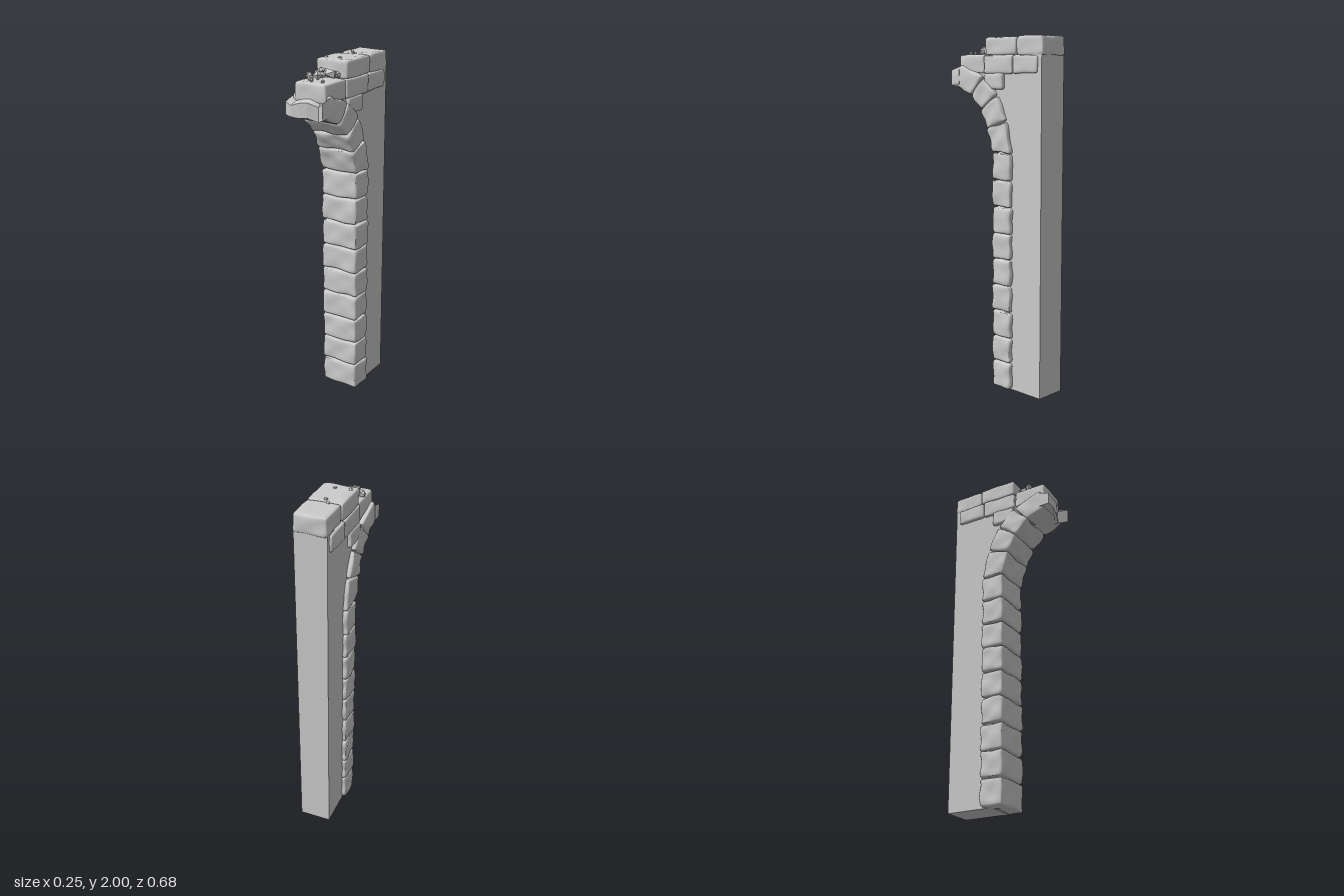
import * as THREE from 'three';
import { mergeVertices } from 'three/addons/utils/BufferGeometryUtils.js';

const material = new THREE.MeshStandardMaterial({ color: 0xcccccc });
const flatMaterial = new THREE.MeshStandardMaterial({ color: 0xcccccc, flatShading: true });

function seeded(seed) {
  let s = seed * 7919 + 17;
  return () => (s = (s * 16807) % 2147483647) / 2147483647;
}

// Rounded, slightly worn block fitted to a side outline of four [z, y] corners:
// bottom front, bottom back, top back, top front.
function stone(name, [a, b, c, d], x0, x1, seed, radius = 0.018, wear = 0.006) {
  const dist = (p, q) => Math.hypot(p[0] - q[0], p[1] - q[1]);
  const size = new THREE.Vector3(x1 - x0, (dist(a, d) + dist(b, c)) / 2, (dist(a, b) + dist(c, d)) / 2);
  const half = size.clone().multiplyScalar(0.5);
  const inner = half.clone().subScalar(radius);
  const rand = seeded(seed);
  for (let i = 0; i < 8; i++) rand();
  const ph = Array.from({ length: 6 }, () => rand() * 6.28);

  let geo = new THREE.BoxGeometry(2, 2, 2, 12, 10, 10);
  geo.deleteAttribute('uv');
  geo.deleteAttribute('normal');
  geo = mergeVertices(geo);
  const pos = geo.attributes.position;
  const p = new THREE.Vector3(), core = new THREE.Vector3(), n = new THREE.Vector3();
  const ease = (t) => Math.sin(t * Math.PI / 2);
  for (let i = 0; i < pos.count; i++) {
    p.fromBufferAttribute(pos, i);
    p.set(ease(p.x), ease(p.y), ease(p.z)).multiply(half);
    core.copy(p).clamp(inner.clone().negate(), inner);
    n.copy(p).sub(core).normalize();
    const bump = Math.sin(p.x * 31 + ph[0] + p.y * 22) * Math.sin(p.y * 37 + ph[1] + p.z * 25)
      + 0.6 * Math.sin(p.z * 48 + ph[2] + p.x * 40) * Math.cos(p.y * 50 + ph[3]);
    p.copy(core).addScaledVector(n, radius + wear * (bump * 0.7 - 0.3));
    const u = p.z / size.z + 0.5, v = p.y / size.y + 0.5;
    const mix = (k) => (1 - v) * ((1 - u) * b[k] + u * a[k]) + v * ((1 - u) * c[k] + u * d[k]);
    pos.setXYZ(i, p.x + (x0 + x1) / 2, mix(1), mix(0));
  }
  geo.computeVertexNormals();
  const mesh = new THREE.Mesh(geo, material);
  mesh.name = name;
  return mesh;
}

const rect = (zBack, zFront, y0, y1) => [[zFront, y0], [zBack, y0], [zBack, y1], [zFront, y1]];

// Angular chip of stone
function chip(name, x, y, z, r, squash, seed) {
  const rand = seeded(seed);
  for (let i = 0; i < 8; i++) rand();
  let geo = seed % 2 ? new THREE.OctahedronGeometry(r) : new THREE.IcosahedronGeometry(r);
  geo.deleteAttribute('uv');
  geo.deleteAttribute('normal');
  geo = mergeVertices(geo);
  const pos = geo.attributes.position;
  for (let i = 0; i < pos.count; i++) {
    const k = 0.8 + rand() * 0.4;
    pos.setXYZ(i, pos.getX(i) * k, pos.getY(i) * k, pos.getZ(i) * k);
  }
  geo.rotateZ((rand() - 0.5) * 1.5);
  geo.scale(1, squash, 0.85);
  geo.rotateY(rand() * 6.28);
  geo.computeVertexNormals();
  const mesh = new THREE.Mesh(geo, flatMaterial);
  mesh.name = name;
  mesh.position.set(x, y, z);
  return mesh;
}

export function createModel() {
  const model = new THREE.Group();
  model.name = 'ruinedArch';

  // Plain wall behind the facing stones
  const outline = [[-0.33, 0], [-0.06, 0], [-0.06, 1.36], [-0.03, 1.51], [0.03, 1.62],
    [0.12, 1.73], [0.2, 1.8], [0.2, 1.84], [-0.33, 1.9]];
  const wallGeo = new THREE.ExtrudeGeometry(
    new THREE.Shape(outline.map(([z, y]) => new THREE.Vector2(z, y))),
    { depth: 0.18, bevelEnabled: false });
  wallGeo.translate(0, 0, -0.09).rotateY(-Math.PI / 2);
  const wall = new THREE.Mesh(wallGeo, material);
  wall.name = 'wallCore';
  model.add(wall);

  // Column of facing stones
  const column = new THREE.Group();
  column.name = 'column';
  const levels = [0.003, 0.157, 0.305, 0.455, 0.607, 0.757, 0.905, 1.055, 1.205, 1.357];
  for (let i = 0; i < 9; i++) {
    const r = seeded(i + 3);
    for (let k = 0; k < 5; k++) r();
    const shift = (r() - 0.5) * 0.008;
    column.add(stone('columnStone', rect(-0.122, 0.019, levels[i], levels[i + 1]),
      -0.116 + shift, 0.118 + shift / 2, i + 1));
  }
  model.add(column);

  // Curved arch stones between successive [inner, outer] joints
  const arch = new THREE.Group();
  arch.name = 'arch';
  const joints = [
    [[0.017, 1.357], [-0.122, 1.357]],
    [[0.055, 1.49], [-0.088, 1.535]],
    [[0.107, 1.59], [-0.015, 1.675]],
    [[0.185, 1.672], [0.085, 1.775]],
    [[0.302, 1.715], [0.27, 1.84]],
  ];
  for (let i = 0; i < 4; i++) {
    const [s, e] = [joints[i], joints[i + 1]];
    arch.add(stone('archStone', [s[0], s[1], e[1], e[0]], -0.119, 0.119, 20 + i));
  }

  // Broken end of the arch: jagged cross-sections [x, front z, bottom y, top y]
  const sections = [[-0.122, 0.33, 1.725, 1.815], [-0.085, 0.336, 1.72, 1.8], [-0.04, 0.328, 1.715, 1.815],
    [0.005, 0.318, 1.72, 1.82], [0.06, 0.296, 1.7, 1.8], [0.115, 0.338, 1.725, 1.83], [0.121, 0.315, 1.735, 1.79]];
  const brokenGeo = new THREE.BoxGeometry(6, 1, 1, 6, 1, 1);
  const bp = brokenGeo.attributes.position;
  for (let i = 0; i < bp.count; i++) {
    const [x, z, y0, y1] = sections[Math.round(bp.getX(i) + 3)];
    const front = bp.getZ(i) > 0, top = bp.getY(i) > 0;
    bp.setXYZ(i, x, (top ? y1 : y0) - (front && top ? 0.02 : 0), front ? z : 0.27);
  }
  brokenGeo.computeVertexNormals();
  const broken = new THREE.Mesh(brokenGeo, flatMaterial);
  broken.name = 'brokenArchEnd';
  arch.add(broken);
  model.add(arch);

  // Courses of blocks on top: z back, z front, y bottom, y top, x left edge, x right edge
  const courses = new THREE.Group();
  courses.name = 'topCourses';
  [
    [-0.06, 0.085, 1.705, 1.795, -0.112, 0.112],
    [0.09, 0.288, 1.79, 1.897, -0.098, 0.1],
    [-0.127, 0.092, 1.787, 1.892, -0.106, 0.106],
    [-0.305, -0.125, 1.79, 1.89, -0.107, 0.102],
    [-0.15, 0.085, 1.888, 1.988, -0.101, 0.1],
    [-0.338, -0.148, 1.885, 1.99, -0.093, 0.094],
  ].forEach(([z0, z1, y0, y1, x0, x1], i) =>
    courses.add(stone('courseBlock', rect(z0, z1, y0, y1), x0, x1, 40 + i, 0.016, 0.003)));
  model.add(courses);

  // Loose rubble and pebbles: x, y, z, radius, squash
  const rubble = new THREE.Group();
  rubble.name = 'rubble';
  [
    [-0.04, 1.915, 0.125, 0.042, 0.6], [0.02, 1.92, 0.125, 0.045, 0.6], [-0.075, 1.91, 0.18, 0.025, 0.8],
    [-0.015, 1.917, 0.19, 0.036, 0.8], [-0.03, 1.91, 0.235, 0.018, 0.8], [-0.004, 1.905, 0.262, 0.017, 0.7],
    [0.03, 1.91, 0.092, 0.03, 0.6], [-0.015, 1.94, 0.15, 0.022, 0.7], [0.05, 1.9, 0.24, 0.013, 1],
    [-0.028, 1.988, -0.165, 0.014, 0.9], [0, 1.988, -0.126, 0.012, 0.9],
    [-0.068, 1.986, 0.033, 0.017, 0.8], [0.013, 1.987, 0.023, 0.012, 0.9],
  ].forEach(([x, y, z, r, q], i) =>
    rubble.add(chip(r > 0.02 ? 'rubbleChunk' : 'pebble', x, y, z, r, q, 60 + i)));
  model.add(rubble);

  return model;
}
